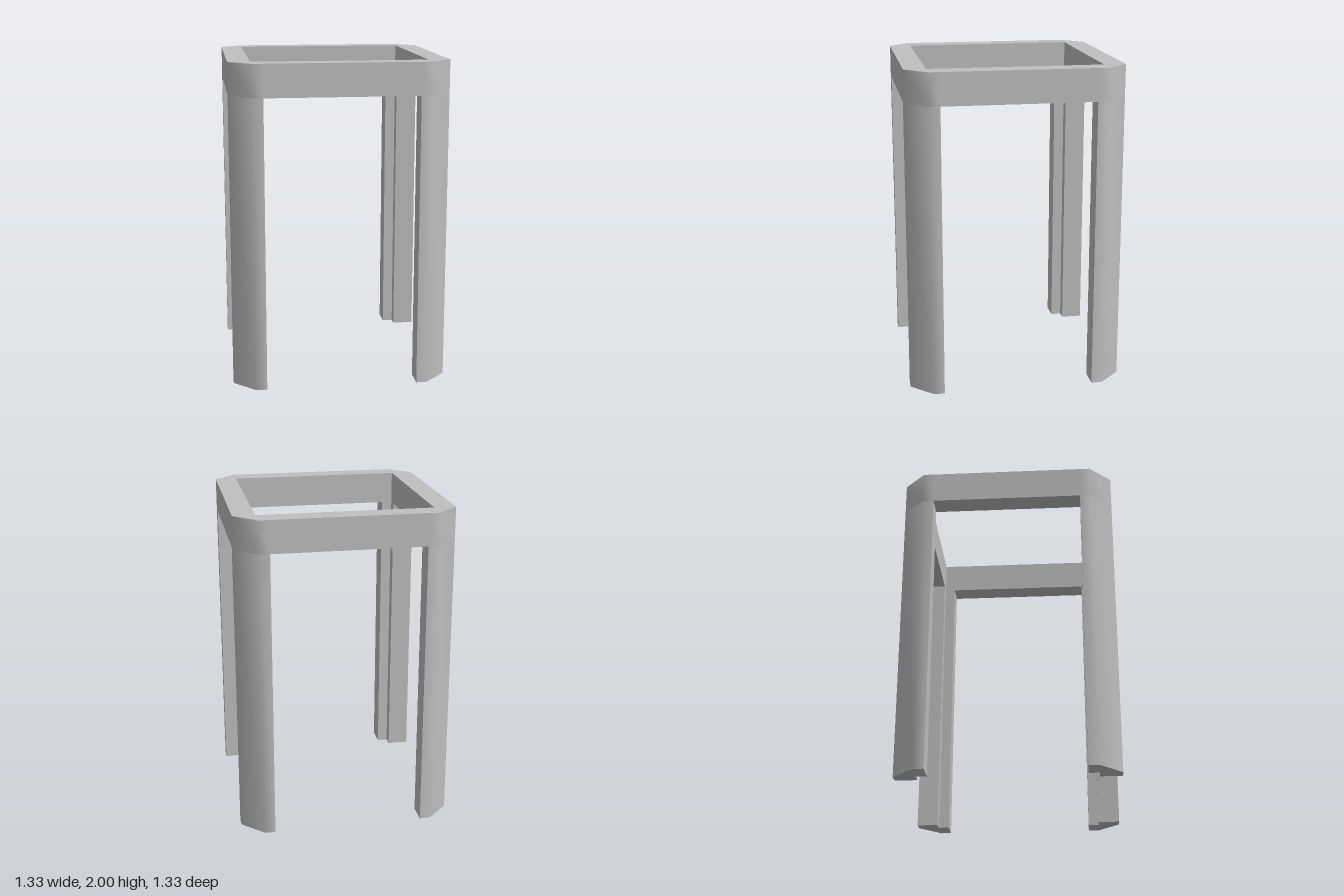
import * as THREE from 'three';
import { toCreasedNormals } from 'three/addons/utils/BufferGeometryUtils.js';

const OUT = 0.667;   // outer half width
const IN = 0.533;    // inner half width, also where the corner chamfer starts
const LEG = 0.467;   // inner end of each leg flange
const RAIL = 1.8;    // underside of the top frame
const TOP = 2;

const points = (list) => list.map(([x, y]) => new THREE.Vector2(x, y));

// Upright prism between two heights, smooth over the 45 degree corners only
function prism(shape, y0, y1) {
  const geometry = new THREE.ExtrudeGeometry(shape, { depth: y1 - y0, bevelEnabled: false });
  geometry.rotateX(-Math.PI / 2);
  geometry.translate(0, y0, 0);
  return toCreasedNormals(geometry, Math.PI / 3.5);
}

export function createModel() {
  const group = new THREE.Group();
  group.name = 'stoolFrame';
  const grey = new THREE.MeshStandardMaterial({ color: 0xc0c0c0 });
  grey.name = 'grey';

  // Top frame: chamfered square ring
  const outline = [];
  for (let i = 0; i < 4; i++) {
    for (const y of [-IN, -LEG, LEG, IN]) {
      outline.push(new THREE.Vector2(OUT, y).rotateAround(new THREE.Vector2(), i * Math.PI / 2));
    }
  }
  const ring = new THREE.Shape(outline);
  ring.holes.push(new THREE.Path(points([[-IN, -IN], [-IN, IN], [IN, IN], [IN, -IN]])));
  const frame = new THREE.Mesh(prism(ring, RAIL, TOP), grey);
  frame.name = 'topFrame';
  group.add(frame);

  // Four angle-section legs, one per corner
  const section = new THREE.Shape(points([
    [OUT, LEG], [OUT, IN], [IN, OUT], [LEG, OUT], [LEG, IN], [IN, IN], [IN, LEG],
  ]));
  const legGeometry = prism(section, 0, RAIL);
  ['backLeftLeg', 'backRightLeg', 'frontRightLeg', 'frontLeftLeg'].forEach((name, i) => {
    const leg = new THREE.Mesh(legGeometry, grey);
    leg.name = name;
    leg.rotation.y = i * Math.PI / 2;
    group.add(leg);
  });
  return group;
}
